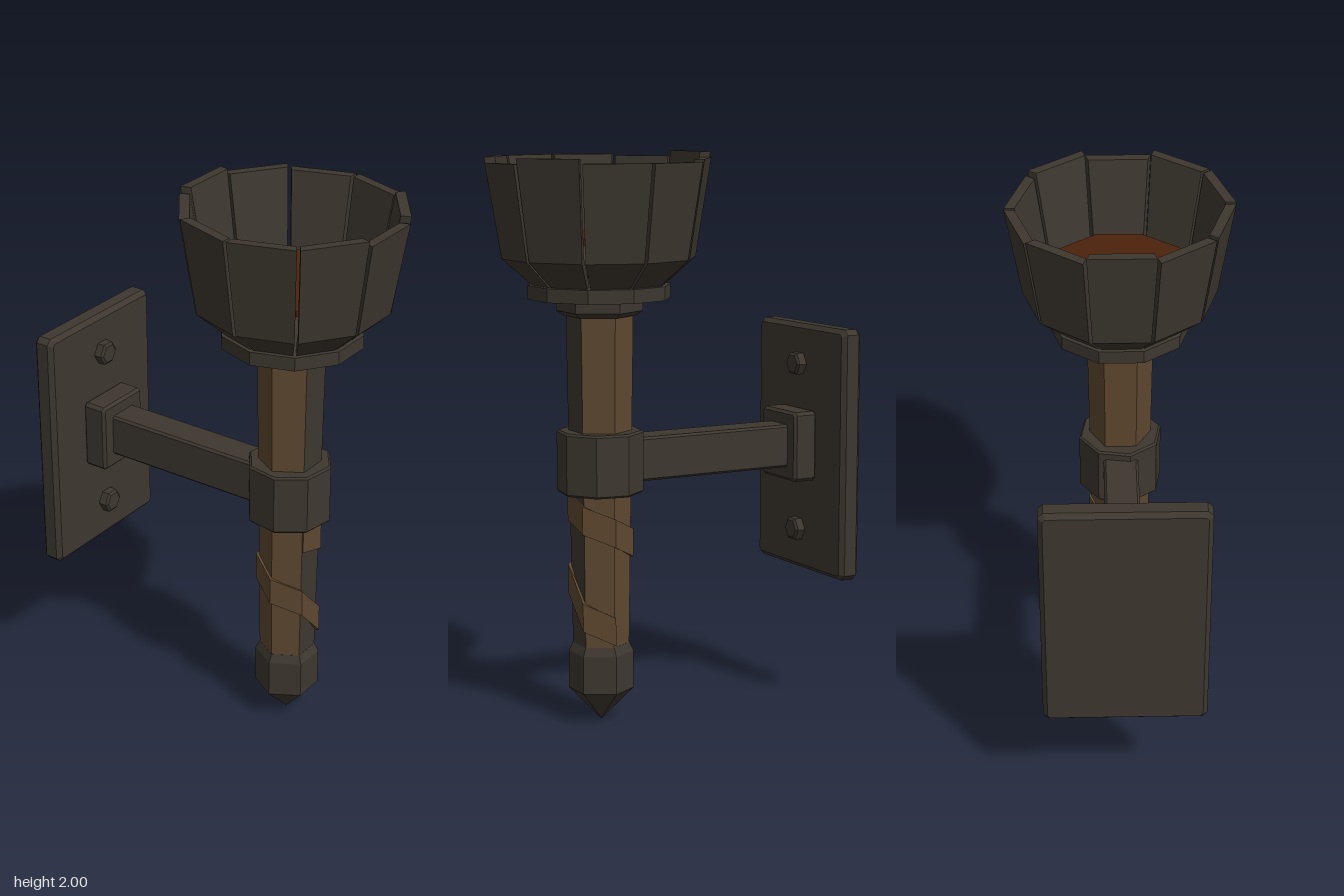
import * as THREE from 'three';

const AXIS_Z = 0.265; // the torch stands in front of the wall plate
const RAD = Math.PI / 180;

const mat = (name, color) => {
  const m = new THREE.MeshStandardMaterial({ color });
  m.name = name;
  return m;
};

// faceted normals for low-poly parts
function facet(geo) {
  const g = geo.index ? geo.toNonIndexed() : geo;
  g.computeVertexNormals();
  return g;
}

// faceted turned part: profile [radius, y] from bottom to top
function turned(profile, sides, turnDeg) {
  const pts = profile.map(([r, y]) => new THREE.Vector2(r, y));
  return facet(new THREE.LatheGeometry(pts, sides, turnDeg * RAD));
}

// box with chamfered edges and cut corners
function chamferBox(w, h, d, c) {
  const x = w / 2 - c, y = h / 2 - c, k = c * 0.6;
  const shape = new THREE.Shape([
    [x - k, -y], [x, k - y], [x, y - k], [x - k, y],
    [k - x, y], [-x, y - k], [-x, k - y], [k - x, -y],
  ].map(([a, b]) => new THREE.Vector2(a, b)));
  const g = new THREE.ExtrudeGeometry(shape, {
    depth: d - 2 * c, bevelEnabled: true, bevelSegments: 1, bevelSize: c, bevelThickness: c,
  });
  return g.translate(0, 0, c - d / 2);
}

// skin over matching closed sections, left to right; caps list the end triangles
function loft(sections, caps) {
  const n = sections[0].length, last = (sections.length - 1) * n, index = [];
  for (let i = 0; i < sections.length - 1; i++) {
    for (let j = 0; j < n; j++) {
      const k = (j + 1) % n, l = i * n, r = l + n;
      index.push(l + k, r + k, r + j, l + k, r + j, l + j);
    }
  }
  for (const [a, b, c] of caps) index.push(last + a, last + b, last + c, c, b, a);
  const g = new THREE.BufferGeometry();
  g.setAttribute('position', new THREE.Float32BufferAttribute(sections.flat(2), 3));
  g.setIndex(index);
  return facet(g);
}

// one bent plate of the bowl, facing +z
function bowlPanel(top) {
  const profile = [[0.375, top], [0.323, 1.64], [0.215, 1.54], [0.19, 1.565], [0.288, 1.66], [0.34, top]];
  const side = (s) => profile.map(([r, y]) => [s * (r * Math.tan(18 * RAD) - 0.006), y, r]);
  return loft([side(-1), side(1)], [[0, 1, 4], [0, 4, 5], [1, 2, 3], [1, 3, 4]]);
}

// strip wound down the hexagonal handle, one section per handle edge
function wrapStrip() {
  const heights = [0.77, 0.735, 0.69, 0.64, 0.6, 0.555, 0.51, 0.39, 0.34];
  const sections = heights.map((y, i) => {
    const a = (-30 + 60 * i) * RAD;
    return [[0.115, 0.05], [0.115, -0.05], [0.09, -0.05], [0.09, 0.05]]
      .map(([r, dy]) => [r * Math.sin(a), y + dy, r * Math.cos(a)]);
  });
  return loft(sections, [[0, 1, 2], [0, 2, 3]]);
}

export function createModel() {
  const metal = mat('dark iron', 0x3d372f);
  const wood = mat('brown wood', 0x5e4830);
  const ember = mat('ember red', 0x4c220d);

  const model = new THREE.Group();
  model.name = 'wallTorch';
  const torch = new THREE.Group();
  torch.name = 'torch';
  torch.position.z = AXIS_Z;
  model.add(torch);

  const add = (parent, name, geo, material, x = 0, y = 0, z = 0) => {
    const m = new THREE.Mesh(geo, material);
    m.name = name;
    m.position.set(x, y, z);
    parent.add(m);
    return m;
  };

  // wall plate, bolts, mounting block and arm
  add(model, 'wallPlate', chamferBox(0.57, 0.91, 0.08, 0.016), metal, 0, 0.915, -0.6);
  for (const y of [0.61, 1.225]) {
    const bolt = turned([[0.045, 0], [0.045, 0.03], [0.035, 0.037], [0, 0.037]], 6, 30);
    add(model, 'bolt', bolt.rotateX(Math.PI / 2), metal, 0, y, -0.562);
  }
  add(model, 'mountBlock', chamferBox(0.225, 0.255, 0.095, 0.01), metal, 0, 0.932, -0.517);
  add(model, 'arm', chamferBox(0.124, 0.156, 0.66, 0.007), metal, 0, 0.932, -0.15);

  // hexagonal handle: five wooden sides and a dark front face
  const handleSide = (start, length, n) =>
    facet(new THREE.CylinderGeometry(0.117, 0.099, 1.2, 6 * n / 6, 1, true, start * RAD, length * RAD));
  add(torch, 'handle', handleSide(30, 300, 5), wood, 0, 0.86);
  add(torch, 'handleFront', handleSide(-30, 60, 1), metal, 0, 0.86);
  add(torch, 'handleWrap', wrapStrip(), wood);

  // pointed foot
  add(torch, 'pointedFoot',
    turned([[0, 0], [0.115, 0.115], [0.115, 0.25], [0.1, 0.28], [0, 0.28]], 6, 30), metal);

  // collar holding the handle
  add(torch, 'collar', turned([
    [0, 0.82], [0.145, 0.82], [0.152, 0.827], [0.152, 1.033], [0.145, 1.04], [0, 1.04],
  ], 8, 13), metal);

  // neck ring and bowl base
  add(torch, 'neckRing',
    turned([[0, 1.44], [0.125, 1.44], [0.15, 1.457], [0.15, 1.5], [0, 1.5]], 6, 30), metal);
  add(torch, 'bowlBase',
    turned([[0, 1.5], [0.25, 1.5], [0.25, 1.548], [0.2, 1.555], [0, 1.555]], 10, 18), metal);

  // bowl of ten separate plates with uneven tops
  const tops = [1.965, 1.985, 1.97, 1.97, 1.98, 2, 1.98, 1.985, 1.985, 1.985];
  tops.forEach((top, i) => {
    add(torch, 'bowlPanel', bowlPanel(top), metal).rotation.y = i * 36 * RAD;
  });

  // ember bed
  add(torch, 'emberBed',
    turned([[0, 1.7], [0.26, 1.7], [0.26, 1.72], [0, 1.72]], 10, 18), ember);

  return model;
}
